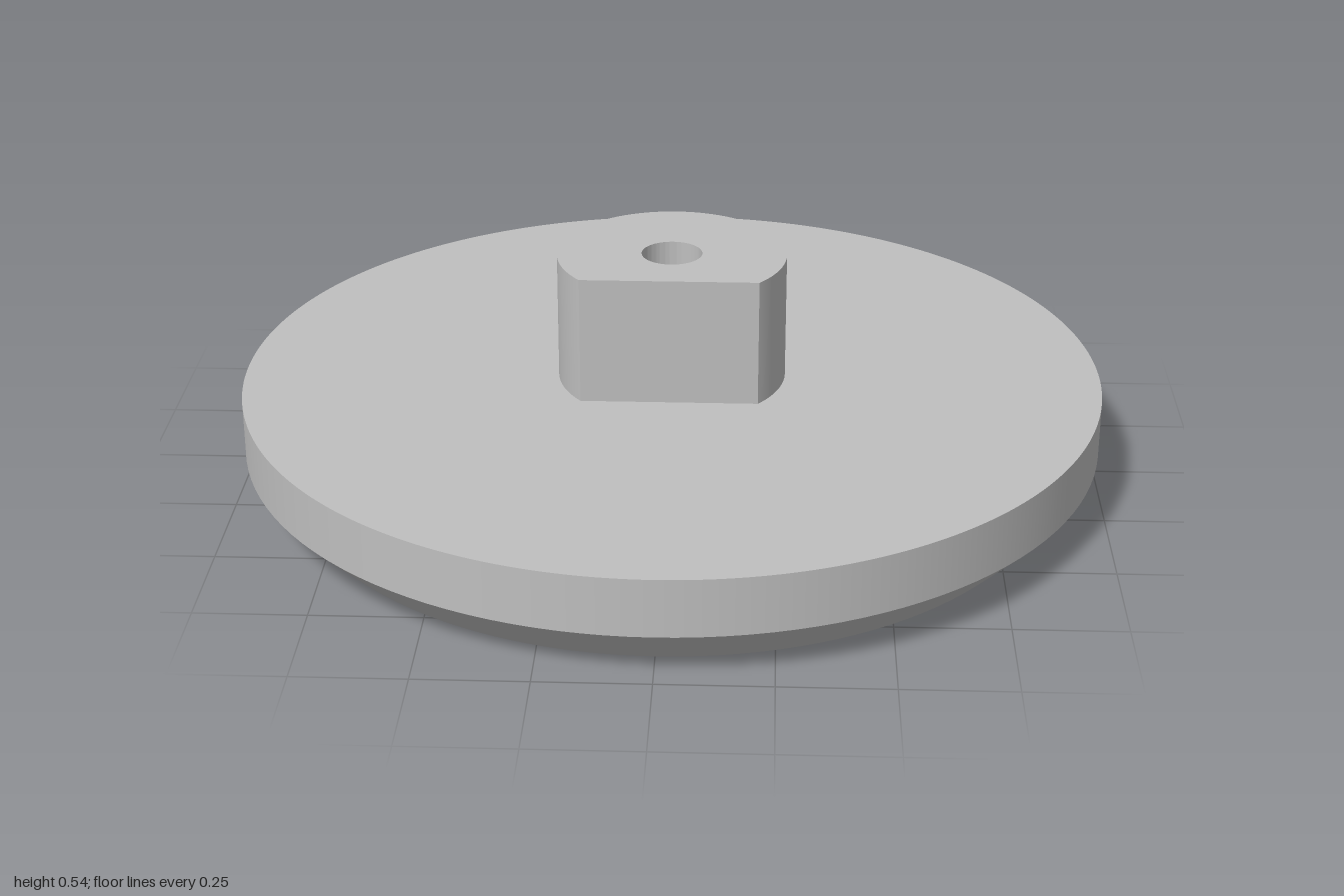
import * as THREE from 'three';
import { mergeGeometries, toCreasedNormals } from 'three/addons/utils/BufferGeometryUtils.js';

const SEG = 128;
const BASE_R = 0.89, TOP = 0.243, BOSS_TOP = 0.543;
const HOLE_R = 0.07, SINK_R = 0.2, SINK_FLOOR_R = 0.135, SINK_DEPTH = 0.065;
const SLOT_R = 0.032, SLOT_IN = 0.365, SLOT_OUT = 0.735, SLOTS = 12;

// Revolved profile with a crisp edge at every point
function crispLathe(points) {
  const bands = [];
  for (let i = 0; i < points.length - 1; i++) {
    const pair = [points[i], points[i + 1]].map(([r, y]) => new THREE.Vector2(r, y));
    bands.push(new THREE.LatheGeometry(pair, SEG));
  }
  return mergeGeometries(bands);
}

function circle(r, Kind = THREE.Path) {
  return new Kind().absarc(0, 0, r, 0, Math.PI * 2);
}

// Round outline with one flat at the front
function flattedCircle(Kind) {
  const r = 0.265, a = Math.asin(0.17 / r);
  return new Kind().absarc(0, 0, r, -a, Math.PI + a);
}

// Straight slot outline with round ends, pointing outward at an angle
function slotOutline(angle) {
  const inner = SLOT_IN + SLOT_R, outer = SLOT_OUT - SLOT_R;
  const c = Math.cos(angle), s = Math.sin(angle);
  return new THREE.Path()
    .absarc(c * outer, s * outer, SLOT_R, angle - Math.PI / 2, angle + Math.PI / 2)
    .absarc(c * inner, s * inner, SLOT_R, angle + Math.PI / 2, angle + Math.PI * 1.5);
}

// Half-round groove with ball ends, seen from inside
function grooveGeometry() {
  const half = (SLOT_OUT - SLOT_IN) / 2 - SLOT_R, profile = [];
  for (const end of [1, -1]) {
    for (let i = 0; i <= 8; i++) {
      const t = (i / 8) * Math.PI / 2;
      const a = end > 0 ? Math.PI / 2 - t : -t;
      profile.push(new THREE.Vector2(Math.max(0, Math.cos(a) * SLOT_R), Math.sin(a) * SLOT_R + end * half));
    }
  }
  return new THREE.LatheGeometry(profile, 16, Math.PI, Math.PI)
    .rotateZ(-Math.PI / 2)
    .translate((SLOT_IN + SLOT_OUT) / 2, 0, 0);
}

export function createModel() {
  const group = new THREE.Group();
  group.name = 'slottedDisc';
  const grey = new THREE.MeshStandardMaterial({ color: 0xbfbfbf, side: THREE.DoubleSide });
  grey.name = 'plainGrey';
  const add = (name, geometry, parent = group) => {
    const mesh = new THREE.Mesh(geometry, grey);
    mesh.name = name;
    parent.add(mesh);
    return mesh;
  };

  // Chamfered outer rim
  add('rim', crispLathe([[BASE_R, 0], [1, 0.11], [1, TOP]]));

  // Flat top around the boss
  const topShape = circle(1, THREE.Shape);
  topShape.holes.push(flattedCircle(THREE.Path));
  add('topFace', new THREE.ShapeGeometry(topShape, SEG).rotateX(-Math.PI / 2).translate(0, TOP, 0));

  // Underside with openings for the slots and the countersink
  const baseShape = circle(BASE_R, THREE.Shape);
  baseShape.holes.push(circle(SINK_R));
  for (let i = 0; i < SLOTS; i++) baseShape.holes.push(slotOutline((i / SLOTS) * Math.PI * 2));
  add('underside', new THREE.ShapeGeometry(baseShape, 64).rotateX(Math.PI / 2));

  // Radial grooves
  const grooves = new THREE.Group();
  grooves.name = 'grooves';
  group.add(grooves);
  const groove = grooveGeometry();
  for (let i = 0; i < SLOTS; i++) {
    add('groove', groove, grooves).rotation.y = (i / SLOTS) * Math.PI * 2;
  }

  // Countersink and the bore through the disc
  add('countersinkAndBore', crispLathe([
    [HOLE_R, TOP], [HOLE_R, SINK_DEPTH], [SINK_FLOOR_R, SINK_DEPTH], [SINK_R, 0],
  ]));

  // Boss with a flat front and a centre hole
  const bossShape = flattedCircle(THREE.Shape);
  bossShape.holes.push(circle(HOLE_R));
  const boss = new THREE.ExtrudeGeometry(bossShape, { depth: BOSS_TOP - TOP, bevelEnabled: false, curveSegments: 64 });
  add('boss', toCreasedNormals(boss.rotateX(-Math.PI / 2).translate(0, TOP, 0), 0.5));

  return group;
}
